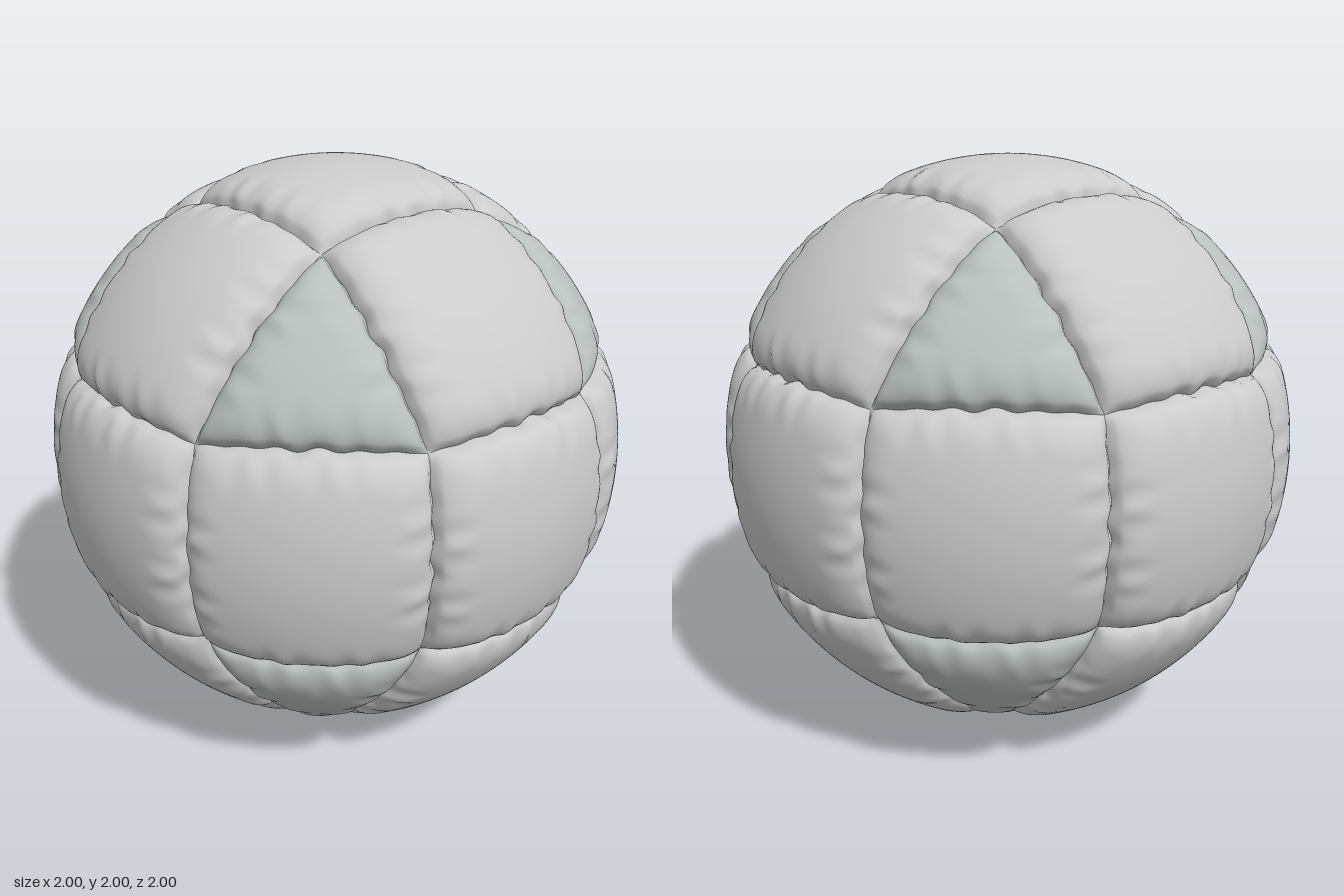
import * as THREE from 'three';

const SEAM = 0.94, PUFF = 0.06, N = 48;

// The 24 corners where seams meet: rhombicuboctahedron vertices on the unit sphere
function seamCorners() {
  const big = 1 + Math.SQRT2, list = [];
  for (let axis = 0; axis < 3; axis++)
    for (const a of [-1, 1]) for (const b of [-1, 1]) for (const c of [-1, 1]) {
      const p = [a, b, c];
      p[axis] *= big;
      list.push(new THREE.Vector3(...p).normalize());
    }
  return list;
}

// The corners nearest a panel's centre, counter-clockwise seen from outside
function panelCorners(all, centre, count) {
  const u = new THREE.Vector3(0.31, 0.83, 0.47).cross(centre).normalize();
  const v = centre.clone().cross(u);
  const angle = p => Math.atan2(p.dot(v), p.dot(u));
  return [...all].sort((p, q) => q.dot(centre) - p.dot(centre))
    .slice(0, count).sort((p, q) => angle(p) - angle(q));
}

// Puffs a point of the sphere outwards, dropping to the wavy seam at every edge
function cushion(p, edges) {
  let height = 1;
  const shift = new THREE.Vector3();
  for (const { a, n, along, arc } of edges) {
    const d = Math.max(0, Math.asin(THREE.MathUtils.clamp(p.dot(n), -1, 1)));
    const s = THREE.MathUtils.clamp(Math.atan2(p.dot(along), p.dot(a)) / arc, 0, 1);
    const taper = Math.sin(Math.PI * s);
    const wave = Math.sin(12 * Math.PI * s) + 0.5 * Math.sin(8 * Math.PI * s);
    const pucker = Math.cos(12 * Math.PI * s + 0.8) + 0.5 * Math.cos(18 * Math.PI * s);
    const t = Math.min(1, d / (0.13 * (1 + 0.22 * taper * pucker)));
    height *= Math.sqrt(1 - (1 - t) ** 2);
    shift.addScaledVector(n, 0.006 * taper * wave * Math.exp(-d / 0.04));
  }
  return p.clone().add(shift).normalize().multiplyScalar(SEAM + PUFF * height);
}

function panelGeometry(corners) {
  const edges = corners.map((a, i) => {
    const b = corners[(i + 1) % corners.length];
    const n = a.clone().cross(b).normalize();
    return { a, n, along: n.clone().cross(a), arc: a.angleTo(b) };
  });
  const [A, B, C, D] = corners, positions = [], index = [];
  const add = p => positions.push(...cushion(p.normalize(), edges).toArray());
  if (D) {
    // Square panel: a grid between four corners
    for (let j = 0; j <= N; j++) for (let i = 0; i <= N; i++) {
      const low = A.clone().lerp(B, i / N), high = D.clone().lerp(C, i / N);
      add(low.lerp(high, j / N));
    }
    for (let j = 0; j < N; j++) for (let i = 0; i < N; i++) {
      const k = j * (N + 1) + i, m = k + N + 1;
      index.push(k, k + 1, m + 1, k, m + 1, m);
    }
  } else {
    // Triangular panel: rows that shorten towards the third corner
    let start = 0;
    for (let j = 0; j <= N; j++) {
      const row = N - j;
      for (let i = 0; i <= row; i++)
        add(A.clone().multiplyScalar(row - i).addScaledVector(B, i).addScaledVector(C, j));
      for (let i = 0; i < row; i++) {
        const k = start + i, m = k + row + 1;
        index.push(k, k + 1, m);
        if (i < row - 1) index.push(k + 1, m + 1, m);
      }
      start += row + 1;
    }
  }
  const g = new THREE.BufferGeometry();
  g.setAttribute('position', new THREE.Float32BufferAttribute(positions, 3));
  g.setIndex(index);
  g.computeVertexNormals();
  return g;
}

export function createModel() {
  const model = new THREE.Group();
  model.name = 'paddedBall';
  const pale = new THREE.MeshStandardMaterial({ color: 0xcccccc });
  const tinted = new THREE.MeshStandardMaterial({ color: 0xb8bfbd });
  const all = seamCorners();
  const names = ['', 'facePanel', 'edgePanel', 'trianglePanel'];

  // One panel for each face, edge and corner direction of a cube
  for (const x of [-1, 0, 1]) for (const y of [-1, 0, 1]) for (const z of [-1, 0, 1]) {
    const kind = Math.abs(x) + Math.abs(y) + Math.abs(z);
    if (!kind) continue;
    const centre = new THREE.Vector3(x, y, z).normalize();
    const corners = panelCorners(all, centre, kind === 3 ? 3 : 4);
    const panel = new THREE.Mesh(panelGeometry(corners), kind === 3 ? tinted : pale);
    panel.name = names[kind];
    panel.position.y = 1;
    model.add(panel);
  }
  return model;
}
